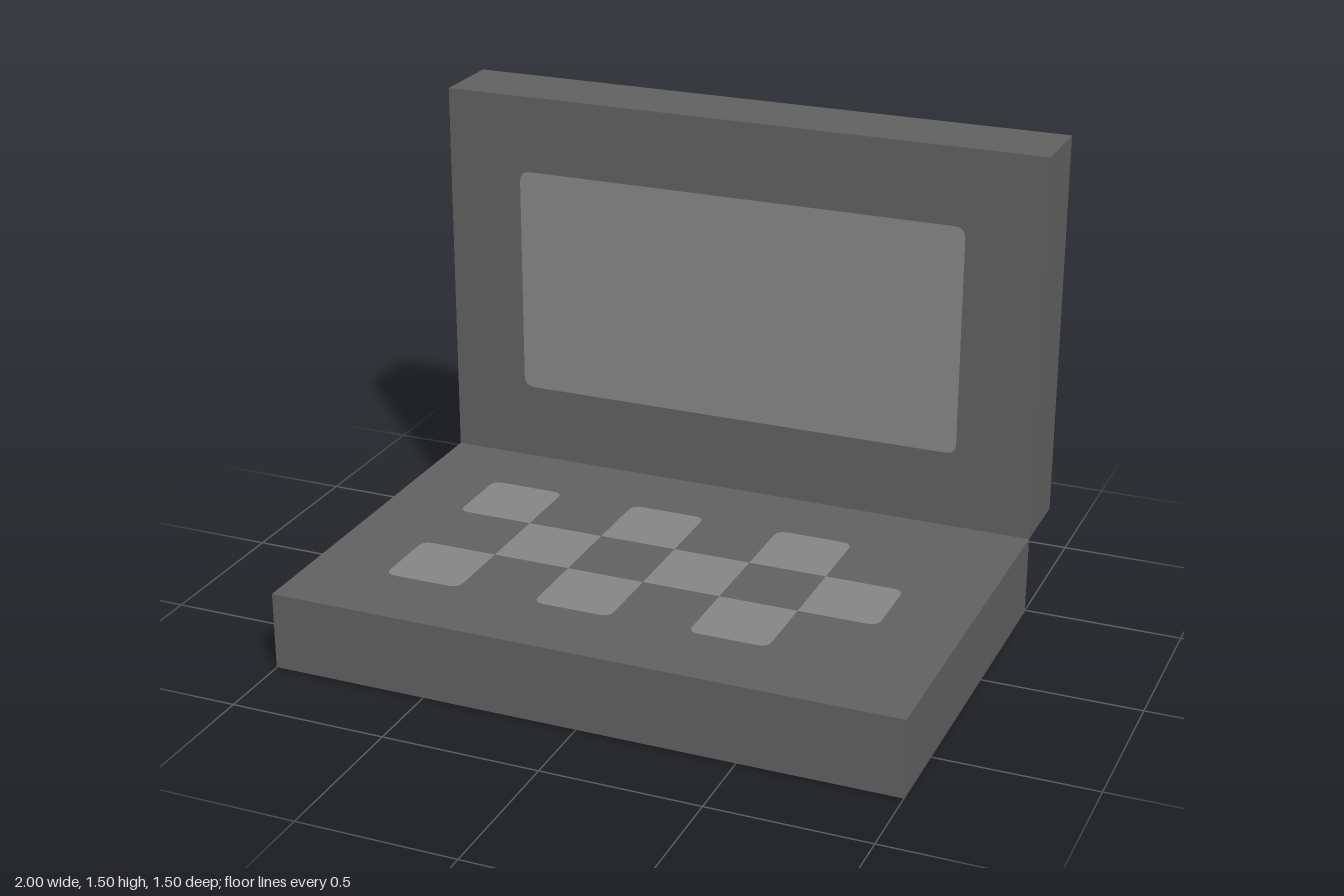
import * as THREE from 'three';

const GAP = 0.002; // lift of painted faces above the casing

const casing = new THREE.MeshStandardMaterial({ color: 0x606060 });
casing.name = 'casing grey';
const panel = new THREE.MeshStandardMaterial({ color: 0x858585 });
panel.name = 'panel grey';

// Rectangle centred on the origin; radii run: lower left, lower right, upper right, upper left
function roundedFace(w, h, [bl, br, tr, tl]) {
  const x = w / 2, y = h / 2, s = new THREE.Shape();
  s.moveTo(-x + bl, -y);
  s.lineTo(x - br, -y);
  if (br) s.quadraticCurveTo(x, -y, x, -y + br);
  s.lineTo(x, y - tr);
  if (tr) s.quadraticCurveTo(x, y, x - tr, y);
  s.lineTo(-x + tl, y);
  if (tl) s.quadraticCurveTo(-x, y, -x, y - tl);
  s.lineTo(-x, -y + bl);
  if (bl) s.quadraticCurveTo(-x, -y, -x + bl, -y);
  return new THREE.ShapeGeometry(s, 4);
}

function addMesh(parent, name, geometry, material, x, y, z) {
  const mesh = new THREE.Mesh(geometry, material);
  mesh.name = name;
  mesh.position.set(x, y, z);
  parent.add(mesh);
  return mesh;
}

export function createModel() {
  const model = new THREE.Group();
  model.name = 'laptop';

  // Base slab and upright lid, meeting along one edge
  const base = new THREE.Group();
  base.name = 'base';
  const lid = new THREE.Group();
  lid.name = 'lid';
  model.add(base, lid);
  addMesh(base, 'baseCasing', new THREE.BoxGeometry(2, 0.25 - GAP, 1.25), casing, 0, 0.125 + GAP / 2, 0.125);
  addMesh(lid, 'lidCasing', new THREE.BoxGeometry(2, 1.25, 0.25 - GAP), casing, 0, 0.875, -0.625 + GAP / 2);

  // Screen on the front of the lid, matching panel on its back
  const r = 0.035;
  const screen = roundedFace(1.5, 0.75, [r, r, r, r]);
  addMesh(lid, 'screen', screen, panel, 0, 0.875, -0.5 + GAP);
  addMesh(lid, 'backPanel', screen, panel, 0, 0.875, -0.75).rotation.y = Math.PI;

  // Staggered keys; corners that touch a diagonal neighbour stay sharp
  const rows = [[0, 2, 4], [1, 3, 5], [0, 2, 4]];
  const corner = (row, col) => (rows[row]?.includes(col) ? 0 : r);
  rows.forEach((cols, row) => cols.forEach((col) => {
    const radii = [
      corner(row + 1, col - 1), corner(row + 1, col + 1),
      corner(row - 1, col + 1), corner(row - 1, col - 1),
    ];
    const x = -0.625 + col * 0.25, z = -0.125 + row * 0.25;
    const key = roundedFace(0.25, 0.25, radii);
    addMesh(base, 'key', key, panel, x, 0.25 + GAP, z).rotation.x = -Math.PI / 2;
    // Same pattern on the underside, flipped front to back
    const [bl, br, tr, tl] = radii;
    const pad = roundedFace(0.25, 0.25, [tl, tr, br, bl]);
    addMesh(base, 'undersidePad', pad, panel, x, 0, z).rotation.x = Math.PI / 2;
  }));

  return model;
}
